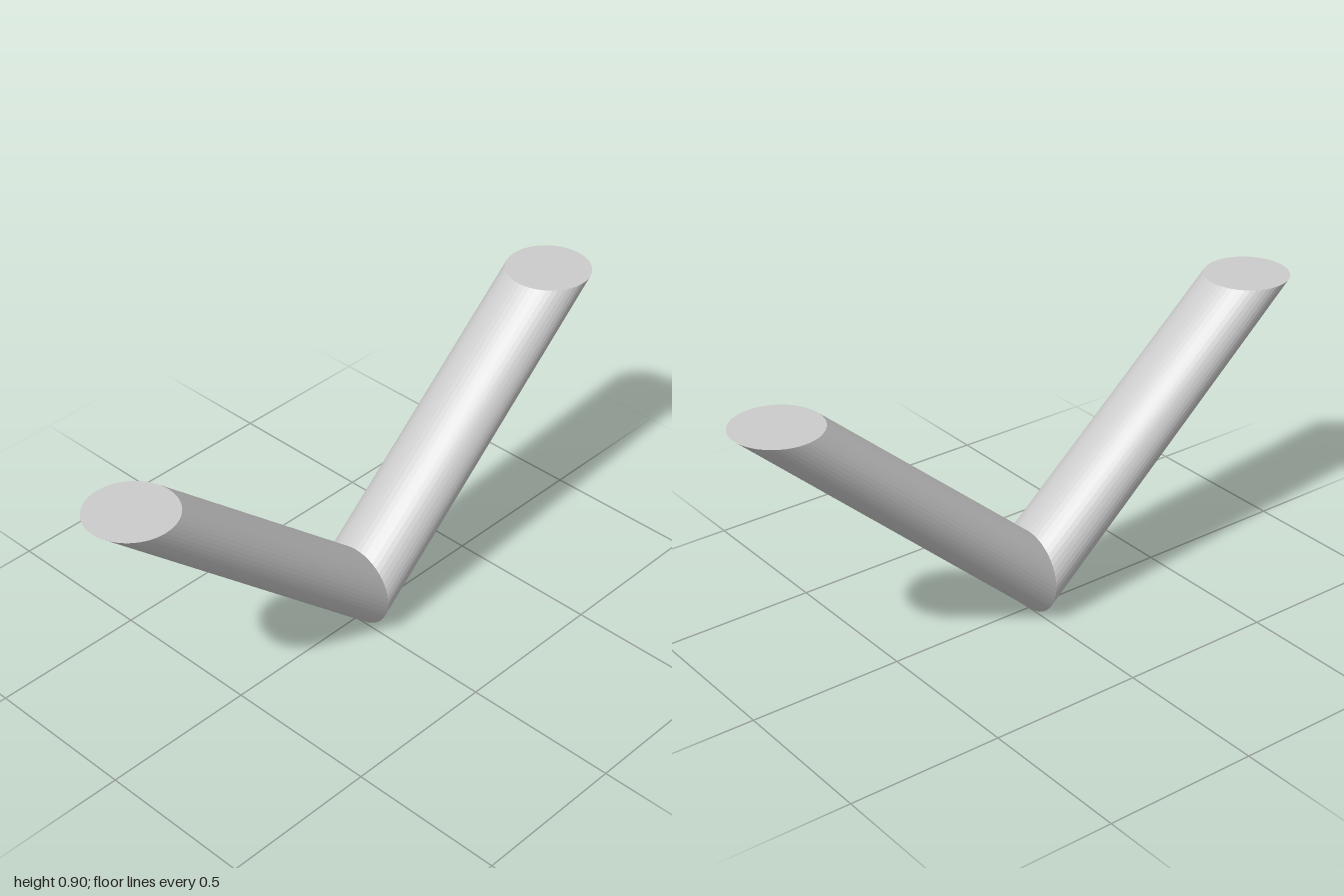
import * as THREE from 'three';

const RADIUS = 0.136; // radius of both the mitre and the lid circles
const HEIGHT = 0.9;
const SIDES = 48;
const REACH = 1 - RADIUS; // x of the lid centre

// Slanted tube: round in the vertical plane x = 0 and round again in the level top plane
function armGeometry() {
  const geometry = new THREE.CylinderGeometry(RADIUS, RADIUS, 1, SIDES, 1, true);
  const p = geometry.attributes.position;
  for (let i = 0; i < p.count; i++) {
    const x = p.getX(i);
    const t = p.getY(i) + 0.5;
    p.setX(i, t * (REACH + x));
    p.setY(i, (1 - t) * (RADIUS - x) + t * HEIGHT);
  }
  geometry.computeVertexNormals();
  return geometry;
}

export function createModel() {
  const model = new THREE.Group();
  model.name = 'vShapedTube';
  const material = new THREE.MeshStandardMaterial({ color: 0xcccccc, flatShading: true });
  const tube = armGeometry();
  const lid = new THREE.CircleGeometry(RADIUS, SIDES).rotateX(-Math.PI / 2).translate(REACH, HEIGHT, 0);

  // Two arms meeting in a mitre, the second turned half round
  for (const [name, turn] of [['leftArm', 0], ['rightArm', Math.PI]]) {
    const arm = new THREE.Group();
    arm.name = name;
    arm.rotation.y = turn;
    const body = new THREE.Mesh(tube, material);
    body.name = name + 'Tube';
    const cap = new THREE.Mesh(lid, material);
    cap.name = name + 'EndFace';
    arm.add(body, cap);
    model.add(arm);
  }
  return model;
}
